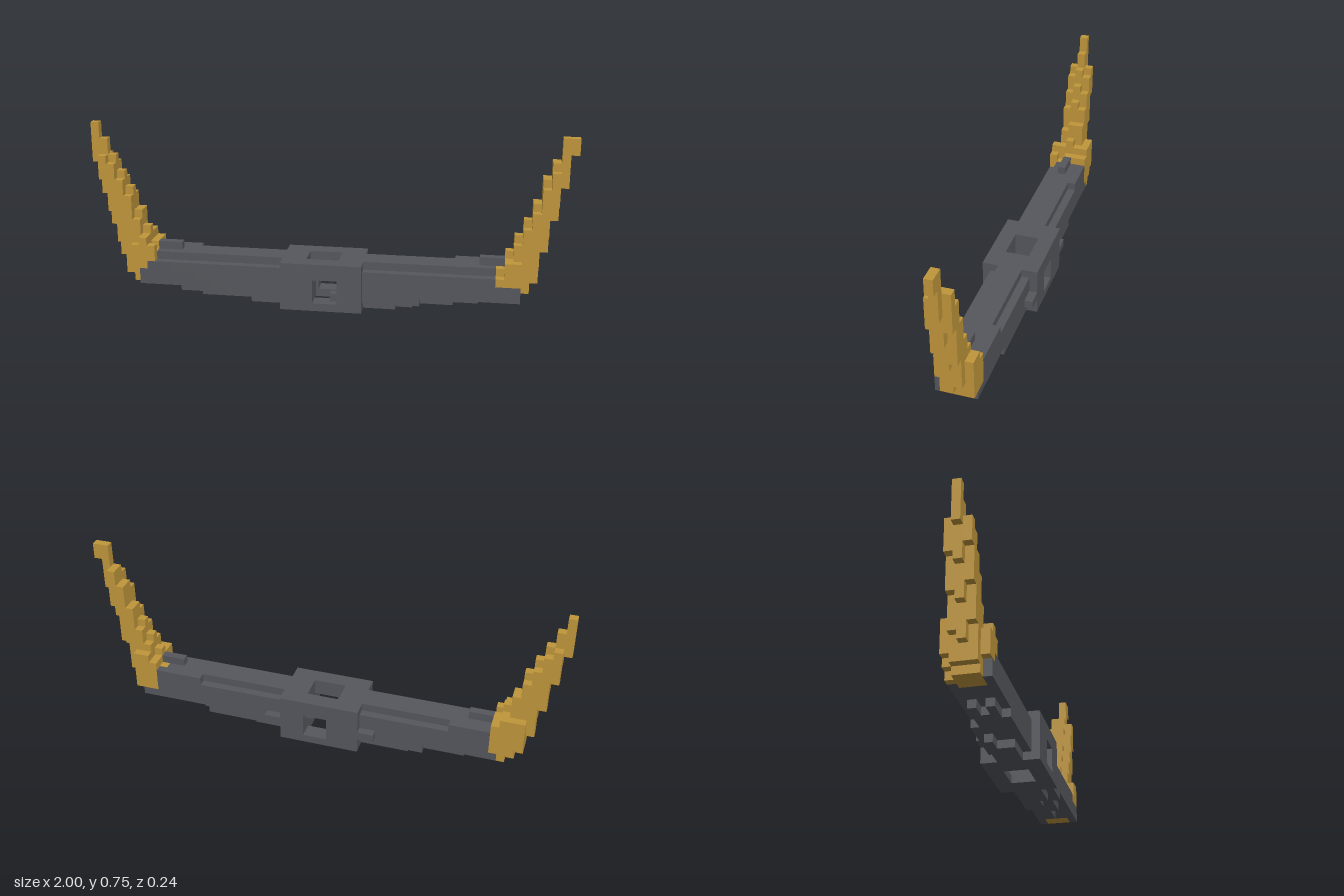
import * as THREE from 'three';

const NX = 59, V = 2 / NX, DEPTH = 7;
const key = (x, y, z) => x + y * 100 + z * 10000;

// Each face: outward direction and four corners in counter-clockwise order
const FACES = [
  [[1, 0, 0], [[1, 0, 1], [1, 0, 0], [1, 1, 0], [1, 1, 1]]],
  [[-1, 0, 0], [[0, 0, 0], [0, 0, 1], [0, 1, 1], [0, 1, 0]]],
  [[0, 1, 0], [[0, 1, 1], [1, 1, 1], [1, 1, 0], [0, 1, 0]]],
  [[0, -1, 0], [[0, 0, 0], [1, 0, 0], [1, 0, 1], [0, 0, 1]]],
  [[0, 0, 1], [[0, 0, 1], [1, 0, 1], [1, 1, 1], [0, 1, 1]]],
  [[0, 0, -1], [[1, 0, 0], [0, 0, 0], [0, 1, 0], [1, 1, 0]]],
];

export function createModel() {
  const cells = new Map();

  // Fill a block of cells with a part; ends are exclusive, null carves
  function fill(part, x0, x1, y0, y1, z0, z1) {
    for (let x = x0; x < x1; x++)
      for (let y = y0; y < y1; y++)
        for (let z = z0; z < z1; z++) {
          if (part) cells.set(key(x, y, z), { part, x, y, z });
          else cells.delete(key(x, y, z));
        }
  }

  // Crossbar: tall core with a lower front ledge and a notched back ledge
  fill('crossbar', 6, 53, 2, 6, 1, 5);
  fill('crossbar', 6, 53, 2, 5, 5, 6);
  fill(null, 13, 45, 5, 6, 1, 2);

  // Staggered steps under the crossbar: layer, depth row, start, end
  const steps = [
    [1, 1, 16, 44], [1, 2, 11, 45], [1, 3, 13, 48], [1, 4, 11, 45], [1, 5, 14, 41],
    [0, 2, 18, 38], [0, 3, 20, 40], [0, 4, 20, 38],
  ];
  for (const [y, z, a, b] of steps) fill('crossbar', a, b, y, y + 1, z, z + 1);

  // Small ridges on top beside each horn
  fill('crossbar', 7, 11, 6, 7, 3, 4);
  fill('crossbar', 48, 52, 6, 7, 3, 4);

  // Hub with rear pegs, a vertical shaft and a front-to-back opening
  fill('hub', 24, 34, 0, 6, 0, 7);
  fill('hub', 22, 24, 2, 3, 0, 1);
  fill('hub', 34, 36, 2, 3, 0, 1);
  fill(null, 27, 31, 0, 6, 2, 5);
  fill(null, 28, 31, 1, 4, 0, 7);
  fill('hub', 27, 28, 1, 3, 4, 5);
  fill('hub', 30, 31, 1, 2, 5, 6);
  fill('hub', 30, 31, 3, 4, 1, 2);

  // Horn rows: depth row, outermost column, then [bottom, top] going inward
  function horn(part, dir, rows) {
    for (const [z, start, spans] of rows)
      spans.forEach(([lo, hi], i) => {
        const x = start + dir * i;
        fill(part, x, x + 1, lo, hi, z, z + 1);
      });
  }
  horn('leftHorn', -1, [
    [3, 58, [[20, 22], [16, 22], [12, 19], [8, 17], [4, 14], [3, 12], [2, 10], [2, 8], [4, 6]]],
    [4, 56, [[14, 18], [10, 16], [6, 13], [3, 11], [2, 9], [2, 7], [4, 6]]],
    [2, 56, [[14, 19], [9, 17], [5, 14], [3, 11], [2, 9], [2, 7], [4, 6]]],
    [1, 53, [[3, 8], [3, 8], [3, 7]]],
    [5, 52, [[4, 7], [4, 7], [4, 5]]],
  ]);
  horn('rightHorn', 1, [
    [3, 0, [[17, 22], [13, 20], [9, 18], [5, 16], [3, 14], [2, 11], [2, 9], [2, 7]]],
    [4, 1, [[15, 18], [11, 17], [7, 15], [3, 13], [2, 10], [2, 8], [2, 6]]],
    [2, 1, [[14, 18], [10, 17], [6, 15], [3, 13], [2, 11], [2, 8], [2, 7]]],
    [1, 4, [[4, 8], [3, 8], [2, 8], [3, 7]]],
    [5, 5, [[4, 7], [4, 8], [5, 7]]],
  ]);

  // Mesh of the exposed cell faces of one part
  function partMesh(name, material) {
    const pos = [], nor = [];
    for (const c of cells.values()) {
      if (c.part !== name) continue;
      for (const [n, corners] of FACES) {
        if (cells.has(key(c.x + n[0], c.y + n[1], c.z + n[2]))) continue;
        for (const i of [0, 1, 2, 0, 2, 3]) {
          const p = corners[i];
          pos.push((c.x + p[0] - NX / 2) * V, (c.y + p[1]) * V, (c.z + p[2] - DEPTH / 2) * V);
          nor.push(...n);
        }
      }
    }
    const geo = new THREE.BufferGeometry();
    geo.setAttribute('position', new THREE.Float32BufferAttribute(pos, 3));
    geo.setAttribute('normal', new THREE.Float32BufferAttribute(nor, 3));
    const mesh = new THREE.Mesh(geo, material);
    mesh.name = name;
    return mesh;
  }

  const darkMetal = new THREE.MeshStandardMaterial({ color: 0x55575d });
  darkMetal.name = 'darkMetal';
  const gold = new THREE.MeshStandardMaterial({ color: 0xc0963b });
  gold.name = 'gold';

  const group = new THREE.Group();
  group.name = 'hornedCrossguard';
  group.add(partMesh('crossbar', darkMetal), partMesh('hub', darkMetal));
  group.add(partMesh('leftHorn', gold), partMesh('rightHorn', gold));
  return group;
}
